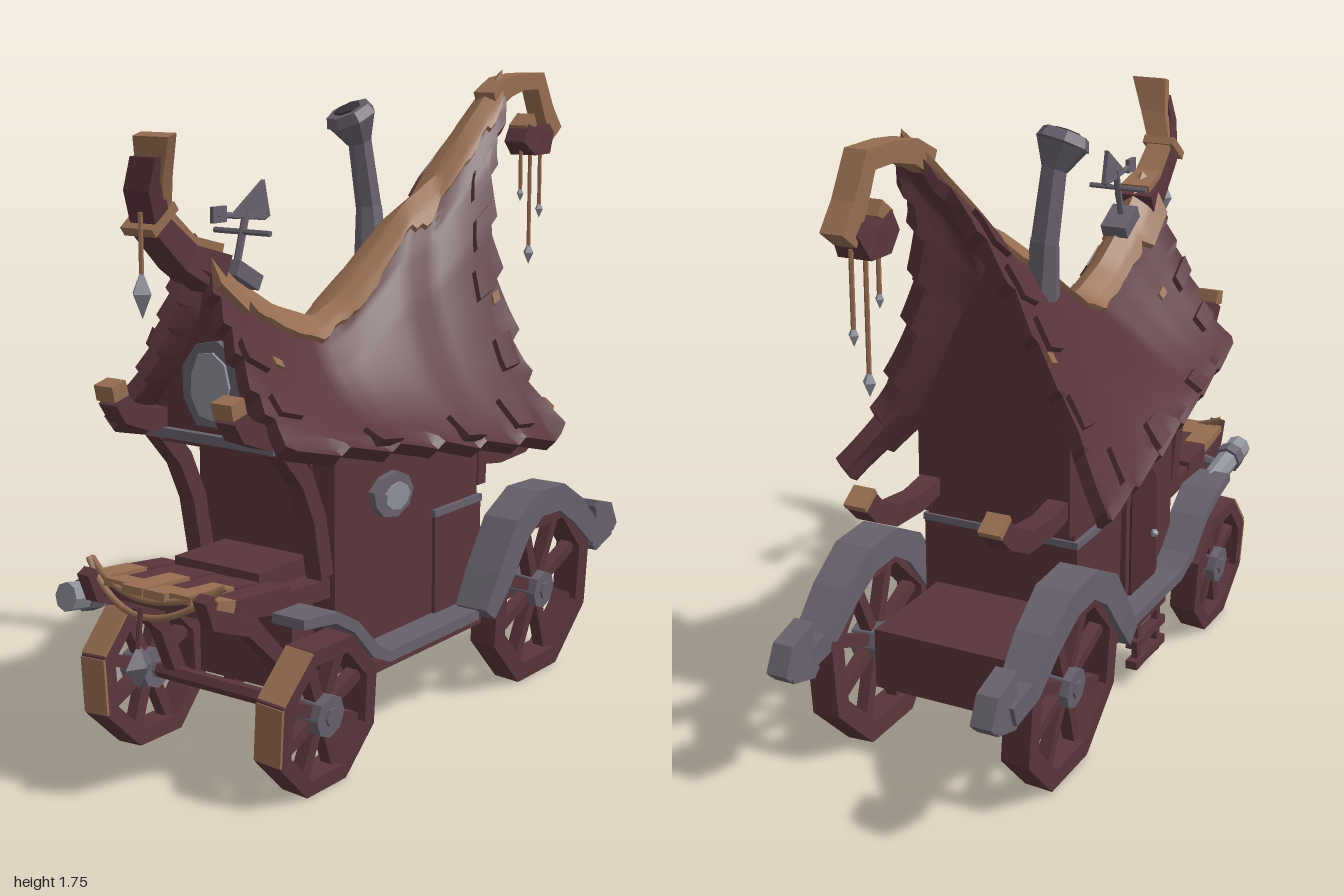
import * as THREE from 'three';
import { toCreasedNormals } from 'three/addons/utils/BufferGeometryUtils.js';

const mat = (name, color) => Object.assign(new THREE.MeshStandardMaterial({ color }), { name });
const wood = mat('maroon wood', 0x59353b);
const darkWood = mat('dark maroon wood', 0x4c2b31);
const tan = mat('worn tan wood', 0x966d51);
const iron = mat('purple grey iron', 0x67616c);
const steel = mat('pale steel', 0x8d8f98);
const soot = mat('soot', 0x3a343c);

const { lerp, clamp } = THREE.MathUtils;
const frac = (v) => v - Math.floor(v);
const hash = (i) => frac(Math.sin(i * 12.9) * 43.7);
// linear lookup in a list of [key, value] pairs with rising keys
function lookup(list, k) {
  let i = 1;
  while (i < list.length - 1 && k > list[i][0]) i++;
  const [a, b] = [list[i - 1], list[i]];
  return lerp(a[1], b[1], clamp((k - a[0]) / (b[0] - a[0]), 0, 1));
}
function fromQuads(quads) {
  const pos = quads.flatMap(([a, b, c, d]) => [a, b, c, a, c, d].flat());
  const g = new THREE.BufferGeometry();
  g.setAttribute('position', new THREE.Float32BufferAttribute(pos, 3));
  g.computeVertexNormals();
  return g;
}
// rectangular beam swept in the z-y plane; each point is [z, y, height, width, sideways shift]
function beam(pts, x = 0) {
  const rings = pts.map(([z, y, h, w, dx = 0], i) => {
    const p = pts[Math.max(i - 1, 0)], q = pts[Math.min(i + 1, pts.length - 1)];
    const l = Math.hypot(q[0] - p[0], q[1] - p[1]);
    const nz = -(q[1] - p[1]) / l * h / 2, ny = (q[0] - p[0]) / l * h / 2;
    return [[1, 1], [-1, 1], [-1, -1], [1, -1]].map(([s, n]) => [x + dx + s * w / 2, y + n * ny, z + n * nz]);
  });
  const quads = [[...rings[0]].reverse(), rings[rings.length - 1]];
  for (let i = 0; i < rings.length - 1; i++)
    for (let k = 0; k < 4; k++) {
      const m = (k + 1) % 4;
      quads.push([rings[i][k], rings[i][m], rings[i + 1][m], rings[i + 1][k]]);
    }
  return fromQuads(quads);
}
// closed sheet from f(u, c, inner): u runs front to back, c runs from -1 to 1 across
function shell(nu, nc, f) {
  const grid = (inner) => Array.from({ length: nu + 1 }, (_, i) =>
    Array.from({ length: nc + 1 }, (_, j) => f(i / nu, j / nc * 2 - 1, inner)));
  const o = grid(false), n = grid(true), q = [];
  for (let i = 0; i < nu; i++) {
    for (let j = 0; j < nc; j++) {
      q.push([o[i][j], o[i][j + 1], o[i + 1][j + 1], o[i + 1][j]]);
      q.push([n[i][j], n[i + 1][j], n[i + 1][j + 1], n[i][j + 1]]);
    }
    q.push([o[i][0], o[i + 1][0], n[i + 1][0], n[i][0]]);
    q.push([n[i][nc], n[i + 1][nc], o[i + 1][nc], o[i][nc]]);
  }
  for (let j = 0; j < nc; j++) {
    q.push([n[0][j], n[0][j + 1], o[0][j + 1], o[0][j]]);
    q.push([o[nu][j], o[nu][j + 1], n[nu][j + 1], n[nu][j]]);
  }
  return toCreasedNormals(fromQuads(q), 0.5);
}

// roof shape: ridge and eave heights, eave half-width and rear edge
const ridge = [[-0.69, 1.74], [-0.5, 1.59], [-0.34, 1.45], [-0.18, 1.38], [-0.02, 1.26], [0.14, 1.15], [0.25, 1.11], [0.41, 1.16], [0.57, 1.25], [0.72, 1.38]];
const eave = [[-0.4, 0.74], [-0.02, 0.785], [0.25, 0.83], [0.72, 0.885]];
const spread = [[-0.4, 0.4], [-0.3, 0.4], [0, 0.38], [0.3, 0.36], [0.72, 0.31]];
const rearEdge = [[0, -0.69], [0.23, -0.5], [0.43, -0.4], [0.65, -0.35], [0.8, -0.33], [1, -0.39]];
function roofPoint(u, c, lift, jag) {
  const d = Math.abs(c), s = Math.sign(c);
  const z0 = lerp(0.71, lookup(rearEdge, d), u);
  const yr = lookup(ridge, lerp(0.71, -0.69, u)), ye = lookup(eave, z0);
  const tooth = jag ? frac(d * 7) : 0;
  const atRear = u > 0.98 ? tooth : 0, atFront = u < 0.02 ? tooth : 0;
  const blunt = 0.022 * Math.min(1, d * 12) * (1 - d);
  const x = (lookup(spread, z0) * (0.75 * d + 0.25 * d ** 4) + blunt) * (1 + 0.07 * atRear);
  const drop = jag && d > 0.97 ? 0.025 * frac(u * 6) : 0;
  return [s * Math.max(0, x + lift * Math.min(1, d * 4)), lerp(yr, ye, d) + lift - drop,
    z0 - 0.035 * atRear + 0.03 * atFront];
}
// slightly uneven rounded plate facing +z
function blob(rx, ry, depth, seed) {
  const pts = Array.from({ length: 9 }, (_, i) => {
    const a = i / 9 * Math.PI * 2, k = 0.93 + 0.14 * hash(i + seed);
    return new THREE.Vector2(Math.cos(a) * rx * k, Math.sin(a) * ry * k);
  });
  return new THREE.ExtrudeGeometry(new THREE.Shape(pts), { depth, bevelEnabled: false });
}

export function createModel() {
  const model = new THREE.Group();
  const add = (name, geo, m, x = 0, y = 0, z = 0, parent = model) => {
    const mesh = new THREE.Mesh(geo, m);
    mesh.name = name;
    mesh.position.set(x, y, z);
    parent.add(mesh);
    return mesh;
  };
  const box = (name, m, x, y, z, w, h, d) => add(name, new THREE.BoxGeometry(w, h, d), m, x, y, z);
  const prism = (r1, r2, h, n) => {
    const g = new THREE.CylinderGeometry(r1, r2, h, n).toNonIndexed();
    g.computeVertexNormals();
    return g;
  };
  const rod = (name, m, a, b, r1, r2 = r1, n = 6) => {
    const A = new THREE.Vector3(...a), B = new THREE.Vector3(...b), dir = B.clone().sub(A);
    const mesh = add(name, prism(r2, r1, dir.length(), n), m, ...A.clone().add(B).multiplyScalar(0.5));
    mesh.quaternion.setFromUnitVectors(new THREE.Vector3(0, 1, 0), dir.normalize());
    return mesh;
  };
  const panel = (name, m, pts, depth, z) => add(name, new THREE.ExtrudeGeometry(
    new THREE.Shape(pts.map((p) => new THREE.Vector2(...p))), { depth, bevelEnabled: false }), m, 0, 0, z);

  // roof, worn ridge cap, loose shingles and worn spots
  add('roof', shell(36, 70, (u, c, inner) => roofPoint(u, c, inner ? -0.03 : 0, true)), wood);
  add('ridgeCap', shell(48, 16, (u, c, inner) => {
    const z = lerp(0.71, -0.69, u), rough = 0.05 + 0.065 * hash(Math.floor(u * 24));
    const depth = clamp(rough / (lookup(ridge, z) - lookup(eave, z)), 0.07 + rough * 0.5, 0.1 + rough * 0.8);
    return roofPoint(u, c * (u < 0.1 ? 0.24 : depth), inner ? -0.01 : 0.012, false);
  }), tan);
  const patch = (name, m, u0, u1, c0, c1, lift) => add(name, shell(3, 3, (u, c, inner) =>
    roofPoint(lerp(u0, u1, u), lerp(c0, c1, (c + 1) / 2), inner ? -0.01 : lift, false)), m);
  for (const s of [1, -1]) {
    for (const [u, d] of [[0.94, 0.2], [0.95, 0.36], [0.93, 0.5], [0.95, 0.72], [0.03, 0.5], [0.05, 0.75], [0.3, 0.9], [0.62, 0.9], [0.85, 0.88]])
      patch('looseShingle', wood, u - 0.03, u + 0.04, ...[s * d, s * (d + 0.09)].sort((a, b) => a - b), 0.012);
    patch('wornSpot', tan, 0.96, 0.99, ...[s * 0.6, s * 0.63].sort((a, b) => a - b), 0.006);
    patch('wornSpot', tan, 0.12, 0.15, ...[s * 0.45, s * 0.5].sort((a, b) => a - b), 0.006);
  }

  // front horn and rear hook
  add('frontHornUnderside', beam([[0.66, 1.28, 0.1, 0.12], [0.77, 1.33, 0.07, 0.09], [0.86, 1.41, 0.06, 0.08], [0.92, 1.51, 0.05, 0.08, 0.03], [0.925, 1.58, 0.03, 0.08, 0.05]]), wood);
  add('frontHornTop', beam([[0.66, 1.33, 0.05, 0.09], [0.76, 1.365, 0.035, 0.08], [0.84, 1.44, 0.03, 0.07], [0.89, 1.53, 0.04, 0.08, 0.04], [0.92, 1.63, 0.03, 0.11, 0.07]]), tan);
  add('hornBand', beam([[0.86, 1.42, 0.1, 0.1], [0.875, 1.44, 0.1, 0.1]]), tan);
  add('rearHook', beam([[-0.6, 1.66, 0.06, 0.07], [-0.68, 1.7, 0.06, 0.07], [-0.77, 1.715, 0.05, 0.06], [-0.87, 1.715, 0.06, 0.06], [-0.92, 1.62, 0.06, 0.06], [-0.97, 1.55, 0.07, 0.06]]), tan);

  // hanging chimes
  const chime = (x, z, top, bottom, s) => {
    rod('chimeCord', tan, [x, top, z], [x, bottom + s * 3, z], 0.006);
    const drop = add('chimeDrop', new THREE.OctahedronGeometry(s), steel, x, bottom + s * 2, z);
    drop.scale.y = 2;
  };
  chime(0.02, 0.92, 1.45, 1.2, 0.03);
  chime(0, -0.805, 1.52, 1.35, 0.012);
  chime(0, -0.86, 1.52, 1.15, 0.018);
  chime(0, -0.92, 1.52, 1.29, 0.014);
  add('chimeHolder', beam([[-0.78, 1.56, 0.06, 0.07], [-0.83, 1.53, 0.08, 0.09], [-0.89, 1.53, 0.08, 0.09], [-0.93, 1.57, 0.04, 0.07]]), wood);
  add('chimeHolderTip', beam([[-0.79, 1.57, 0.03, 0.06], [-0.84, 1.6, 0.04, 0.06]]), tan);

  // cabin walls, floor and rear deck
  box('cabin', wood, 0, 0.55, 0.115, 0.45, 0.64, 0.67);
  box('rearDeck', wood, 0, 0.285, -0.38, 0.4, 0.17, 0.36);
  box('sidePanel', wood, 0, 0.4, -0.11, 0.47, 0.33, 0.23);
  box('sidePanelTrim', iron, 0, 0.565, -0.11, 0.476, 0.02, 0.236);
  box('frontChassis', wood, 0, 0.33, 0.47, 0.31, 0.28, 0.14);
  box('gableFloor', wood, 0, 0.85, 0.52, 0.42, 0.03, 0.26);
  box('gableSill', iron, 0, 0.86, 0.65, 0.4, 0.025, 0.03);
  panel('frontGable', wood, [[-0.21, 0.86], [0.21, 0.86], [0.17, 1.0], [0.07, 1.18], [0, 1.28], [-0.07, 1.18], [-0.17, 1.0]], 0.03, 0.615);
  panel('rearGable', wood, [[-0.23, 0.6], [0.23, 0.6], [0.23, 0.88], [0.17, 1.0], [0.09, 1.18], [0, 1.34], [-0.09, 1.18], [-0.17, 1.0], [-0.23, 0.88]], 0.04, -0.26);
  box('frontPanel', wood, 0, 0.69, 0.452, 0.31, 0.26, 0.006);

  // windows
  add('gableWindowFrame', blob(0.1, 0.115, 0.025, 2), iron, 0.008, 1.0, 0.64);
  add('gableWindowPane', blob(0.064, 0.085, 0.008, 5), steel, 0.005, 1.0, 0.665);
  add('sideWindowFrame', blob(0.09, 0.06, 0.025, 4), iron, 0.22, 0.665, 0.215).rotation.y = Math.PI / 2;
  add('sideWindowPane', blob(0.056, 0.036, 0.008, 1), steel, 0.245, 0.66, 0.205).rotation.y = Math.PI / 2;

  // arched door and ladder on the right side
  const arch = (w, h) => {
    const s = new THREE.Shape().moveTo(-w, 0).lineTo(w, 0).lineTo(w, h);
    s.absarc(0, h, w, 0, Math.PI, false);
    return new THREE.ExtrudeGeometry(s, { depth: 0.02, bevelEnabled: false, curveSegments: 5 });
  };
  add('doorFrame', arch(0.115, 0.3), wood, -0.222, 0.25, 0.2).rotation.y = -Math.PI / 2;
  add('door', arch(0.09, 0.29), darkWood, -0.228, 0.26, 0.2).rotation.y = -Math.PI / 2;
  add('doorKnob', new THREE.IcosahedronGeometry(0.014), steel, -0.255, 0.42, 0.26);
  for (const z of [0.13, 0.27]) box('ladderRail', wood, -0.26, 0.14, z, 0.02, 0.2, 0.02);
  for (const y of [0.065, 0.13, 0.2]) box('ladderRung', wood, -0.26, y, 0.2, 0.035, 0.025, 0.21);

  // seat and footboard
  box('seat', wood, 0, 0.5, 0.55, 0.28, 0.07, 0.2);
  add('footboardBase', beam([[0.44, 0.46, 0.05, 0.42], [0.65, 0.47, 0.05, 0.42], [0.88, 0.5, 0.04, 0.4]]), wood);
  for (let i = 0; i < 6; i++) {
    const x = (i - 2.5) * 0.072, end = 0.93 - Math.abs(x) * 0.2, start = 0.75 + 0.08 * (i % 2);
    add('footboardPlank', beam([[0.62, 0.495, 0.03, 0.068], [start, 0.51, 0.03, 0.068]], x), wood);
    add('footboardTip', beam([[start, 0.511, 0.032, 0.068], [end, 0.53, 0.02, 0.068]], x), tan);
  }
  const swag = (drop, z) => new THREE.TubeGeometry(new THREE.QuadraticBezierCurve3(new THREE.Vector3(-0.22, 0.57, z - 0.04),
    new THREE.Vector3(0, 0.57 - drop, z + 0.05), new THREE.Vector3(0.22, 0.57, z - 0.04)), 14, 0.009, 5);
  add('ropeGarland', swag(0.2, 0.92), tan);
  add('innerRope', swag(0.12, 0.91), tan);
  for (const [x, y] of [[0.075, 0.42], [0.03, 0.38], [-0.1, 0.41]])
    add('panelStud', new THREE.IcosahedronGeometry(0.017), iron, x, y, 0.54);
  rod('pendantCord', wood, [0.01, 0.5, 0.94], [0.01, 0.4, 0.955], 0.007);
  add('pendant', new THREE.OctahedronGeometry(0.047), iron, 0.01, 0.355, 0.952).scale.set(0.55, 1.25, 1);
  rod('sideLamp', steel, [-0.26, 0.43, 0.68], [-0.265, 0.47, 0.92], 0.032, 0.038, 8);
  rod('sideLampBand', iron, [-0.262, 0.455, 0.82], [-0.264, 0.462, 0.86], 0.044, 0.044, 8);
  rod('sideLampBracket', iron, [-0.26, 0.45, 0.78], [-0.18, 0.47, 0.78], 0.015);

  // wheels: low-sided rim, spokes, hub
  const wheel = (name, s, z, r, patches) => {
    const g = new THREE.Group(), sides = 8;
    g.name = name;
    g.position.set(s * 0.29, r * 0.97, z);
    g.rotation.set(0, 0, -s * 0.06);
    model.add(g);
    const ring = (rad) => Array.from({ length: sides }, (_, i) => {
      const a = (i + 0.5) / sides * Math.PI * 2;
      return new THREE.Vector2(Math.cos(a) * rad, Math.sin(a) * rad);
    });
    const shape = new THREE.Shape(ring(r * 1.04));
    shape.holes.push(new THREE.Path(ring(r * 0.82)));
    const rim = new THREE.ExtrudeGeometry(shape, { depth: 0.08, bevelEnabled: false });
    add('rim', rim.translate(0, 0, -0.04).rotateY(-Math.PI / 2), wood, 0, 0, 0, g);
    for (let i = 0; i < sides; i++) {
      const a = i / sides * Math.PI * 2;
      const spoke = new THREE.BoxGeometry(0.035, r * 0.84, 0.033).translate(0, r * 0.42, 0);
      add('spoke', spoke.rotateX(a + Math.PI / sides), wood, 0, 0, 0, g);
      if (patches && i < 2) {
        const plate = new THREE.BoxGeometry(0.082, 0.008, r * 0.75).translate(0, r * 1.04 * Math.cos(Math.PI / sides), 0);
        add('wornTread', plate.rotateX(Math.PI / 2 - a), tan, 0, 0, 0, g);
      }
    }
    add('hub', prism(0.056, 0.056, 0.085, 8).rotateZ(Math.PI / 2), iron, 0, 0, 0, g);
    add('hubCap', prism(0.025, 0.025, 0.1, 6).rotateZ(Math.PI / 2), iron, 0, 0, 0, g);
  };
  for (const s of [1, -1]) {
    wheel('frontWheel', s, 0.61, 0.2, true);
    wheel('rearWheel', s, -0.425, 0.268, false);

    // fender running from the front guard along the sill and over the rear wheel
    add('fender', beam([[-0.1, 0.27, 0.06, 0.1], [-0.17, 0.36, 0.08, 0.11], [-0.26, 0.48, 0.09, 0.11], [-0.36, 0.535, 0.08, 0.11],
      [-0.48, 0.53, 0.08, 0.11], [-0.59, 0.465, 0.08, 0.1], [-0.69, 0.38, 0.07, 0.09], [-0.78, 0.35, 0.06, 0.07]], s * 0.302), iron);
    add('fenderTip', beam([[-0.74, 0.31, 0.03, 0.06], [-0.8, 0.38, 0.14, 0.06], [-0.84, 0.4, 0.08, 0.06]], s * 0.295), iron);
    add('fenderTipBarb', beam([[-0.87, 0.35, 0.03, 0.06], [-0.82, 0.4, 0.08, 0.06], [-0.74, 0.45, 0.02, 0.06]], s * 0.295), iron);
    add('sill', beam([[0.7, 0.45, 0.025, 0.1], [0.58, 0.44, 0.03, 0.12], [0.49, 0.39, 0.03, 0.11], [0.4, 0.3, 0.035, 0.1], [0.33, 0.265, 0.03, 0.09], [-0.1, 0.265, 0.03, 0.09]], s * 0.27), iron);
    add('sillBoard', beam([[0.4, 0.24, 0.03, 0.07], [-0.14, 0.24, 0.03, 0.07]], s * 0.26), wood);

    // curved brackets and upturned rafter ends
    add('frontBracket', beam([[0.64, 0.86, 0.05, 0.05], [0.56, 0.77, 0.05, 0.05], [0.51, 0.66, 0.05, 0.05], [0.48, 0.5, 0.05, 0.05]], s * 0.2), wood);
    add('frontRafter', beam([[0.5, 0.88, 0.05, 0.06], [0.7, 0.9, 0.06, 0.06], [0.78, 0.93, 0.06, 0.06], [0.81, 0.97, 0.05, 0.06]], s * 0.19), wood);
    add('frontRafterTip', beam([[0.81, 0.97, 0.052, 0.062], [0.82, 1.01, 0.05, 0.062]], s * 0.19), tan);
    add('rearRafter', beam([[-0.18, 0.69, 0.05, 0.06], [-0.35, 0.665, 0.05, 0.06], [-0.48, 0.675, 0.06, 0.06], [-0.57, 0.72, 0.06, 0.06], [-0.61, 0.76, 0.06, 0.06]], s * 0.195), wood);
    add('rearRafterTip', beam([[-0.61, 0.76, 0.064, 0.064], [-0.62, 0.775, 0.064, 0.064]], s * 0.195), tan);
    add('frontArm', beam([[0.92, 0.55, 0.03, 0.04], [0.89, 0.49, 0.05, 0.04], [0.76, 0.44, 0.05, 0.04], [0.66, 0.34, 0.04, 0.04], [0.6, 0.2, 0.04, 0.04]], s * 0.19), wood);
  }
  rod('frontAxle', wood, [-0.3, 0.195, 0.61], [0.3, 0.195, 0.61], 0.022);
  rod('rearAxle', wood, [-0.3, 0.26, -0.425], [0.3, 0.26, -0.425], 0.025);

  // crooked chimney with a flared mouth tilted forward
  rod('chimneyFoot', iron, [-0.085, 1.22, -0.14], [-0.1, 1.38, -0.15], 0.05, 0.038, 7);
  rod('chimneyPipe', iron, [-0.1, 1.37, -0.15], [-0.115, 1.57, -0.125], 0.038, 0.034, 7);
  rod('chimneyFlare', iron, [-0.115, 1.56, -0.125], [-0.127, 1.625, -0.103], 0.036, 0.072, 7);
  rod('chimneyMouth', iron, [-0.127, 1.624, -0.103], [-0.132, 1.65, -0.091], 0.075, 0.064, 7);
  rod('chimneyHole', soot, [-0.132, 1.649, -0.0915], [-0.133, 1.655, -0.0888], 0.04, 0.04, 7);

  // weather vane
  box('vaneBase', iron, 0, 1.265, 0.55, 0.08, 0.04, 0.1).rotation.x = -0.5;
  rod('vanePole', iron, [0, 1.27, 0.56], [0, 1.43, 0.51], 0.01);
  rod('vaneCrossArm', iron, [-0.09, 1.37, 0.53], [0.09, 1.37, 0.53], 0.008);
  rod('vaneArrow', iron, [0, 1.42, 0.63], [0, 1.4, 0.44], 0.008);
  add('vaneFlag', beam([[0.57, 1.41, 0.005, 0.012], [0.45, 1.445, 0.1, 0.012], [0.43, 1.4, 0.01, 0.012]]), iron);
  box('vaneTail', iron, 0, 1.42, 0.62, 0.012, 0.04, 0.05);
  return model;
}
